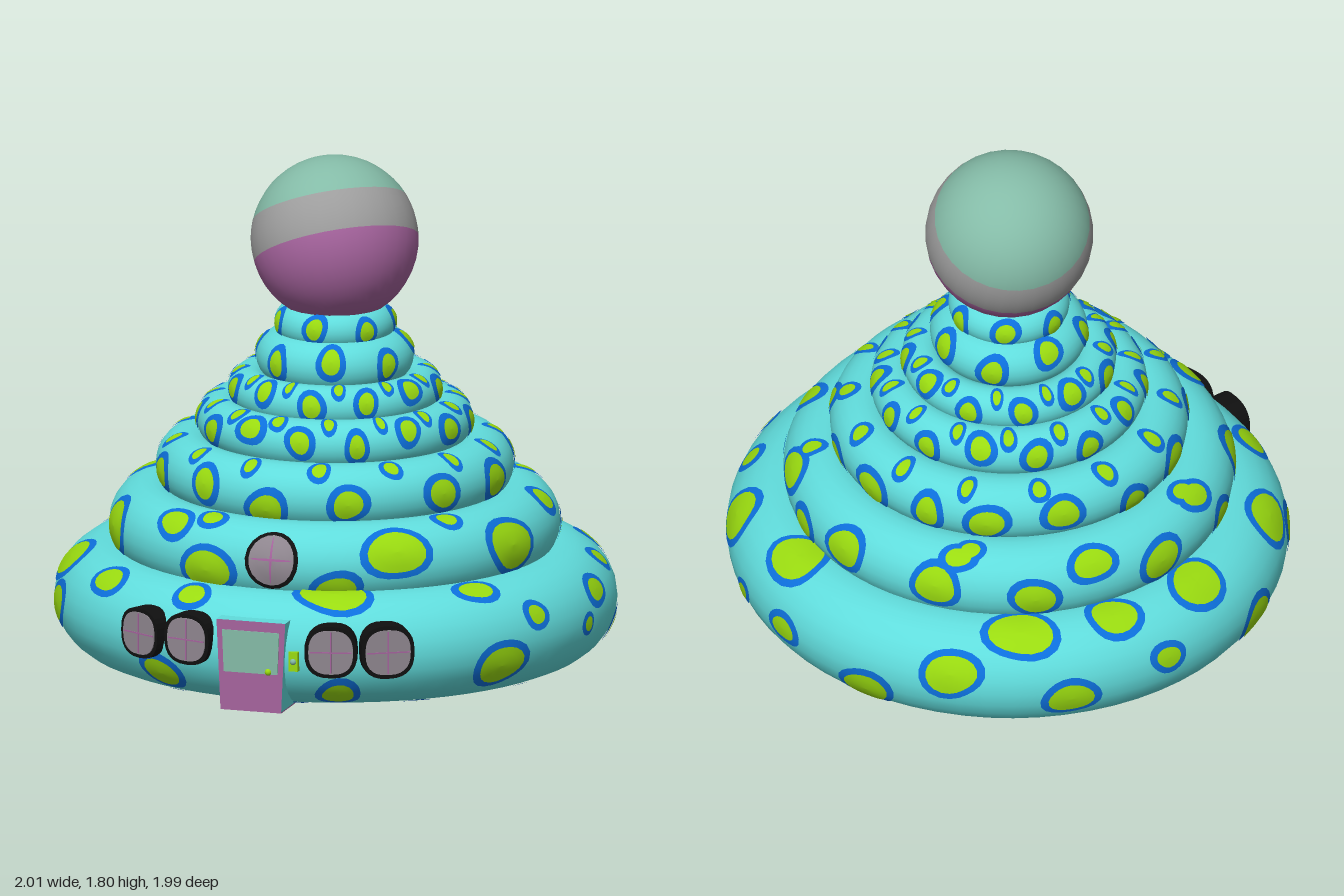
import * as THREE from 'three';
import { mergeGeometries } from 'three/addons/utils/BufferGeometryUtils.js';

const mat = (name, color) => {
  const m = new THREE.MeshStandardMaterial({ color });
  m.name = name;
  return m;
};
const RAD = Math.PI / 180;

// Spots are [azimuth, tube angle, half width, half height]
const sized = (list, turn = 0) => list.map(([a, t, w]) => [a, t + turn, w * 1.17, w]);
const evenly = (count, start, tubes, w, h) => Array.from({ length: count }, (_, i) =>
  [start + i * 360 / count, tubes[i % tubes.length], w * (1 + 0.15 * Math.sin(i * 5)), h]);

// Main spots of the two widest rings
const bottomSpots = sized([
  [-63, 2, 0.09], [-43, 52, 0.08], [-22, -33, 0.085], [18, -44, 0.075], [54, -20, 0.1],
  [52, 68, 0.075], [64, 26, 0.055], [81, 0, 0.04], [88, 29, 0.07], [105, -37, 0.125],
  [122, 35, 0.11], [137, -8, 0.05], [154, 0, 0.07], [104, 48, 0.06], [147, 71, 0.115],
  [-165, 20, 0.1], [-150, 68, 0.115], [-127, 72, 0.095], [-103, 68, 0.11], [-70, 46, 0.11],
  [17, 78, 0.12], [-17, 60, 0.07], [176, -25, 0.1], [-140, -8, 0.09], [-118, 12, 0.065], [-90, -15, 0.1]]);
const secondSpots = sized([
  [-17, -22, 0.1], [-31, 36, 0.075], [-60, -5, 0.11], [18, -42, 0.085], [34, 13, 0.108],
  [70, -2, 0.112], [97, 36, 0.07], [109, -25, 0.085], [127, 20, 0.085], [142, -15, 0.07],
  [160, 2, 0.09], [-167, 45, 0.06], [-90, 42, 0.07], [-82, -22, 0.075], [-110, -5, 0.09],
  [-130, 28, 0.08], [-146, -12, 0.085], [-172, 0, 0.09]], 12);
const thirdSpots = [-58, -29, -5, 22, 55, 82, 111, 133, 157, 180, -160, -135, -108, -85]
  .map((a, i) => [a, [0, 12, -18, -3, 3][i % 5], 0.082 + 0.01 * Math.sin(i * 4), 0.08]);

// Rings from the ground up: centre radius, tube radius, height, spots (with rows inside and beneath)
const RINGS = [
  { R: 0.8, r: 0.2, y: 0.2, spots: [...bottomSpots, ...evenly(12, 7, [-85], 0.07, 0.07),
    ...evenly(12, 22, [-130], 0.065, 0.065), ...evenly(12, 0, [178], 0.06, 0.065)] },
  { R: 0.653, r: 0.147, y: 0.475, spots: [...secondSpots, ...evenly(12, 4, [-105], 0.06, 0.06),
    ...evenly(12, 19, [-160], 0.06, 0.06), ...evenly(5, 52, [70], 0.06, 0.055)] },
  { R: 0.518, r: 0.117, y: 0.685, spots: [...thirdSpots, ...evenly(12, 10, [-130], 0.05, 0.055),
    ...evenly(14, 38, [62], 0.04, 0.055)] },
  { R: 0.402, r: 0.088, y: 0.845, spots: [...evenly(15, 3, [15, 5, 35], 0.058, 0.066),
    ...evenly(15, 15, [64], 0.03, 0.05)] },
  { R: 0.305, r: 0.075, y: 0.96, spots: [...evenly(12, 5, [10, 18, 38], 0.058, 0.062),
    ...evenly(12, 20, [62], 0.028, 0.045)] },
  { R: 0.188, r: 0.092, y: 1.078, spots: evenly(8, 15, [22, 5, 40], 0.058, 0.07) },
  { R: 0.145, r: 0.07, y: 1.2, spots: evenly(7, -2, [12, 2], 0.05, 0.06) },
];

// A rounded patch that follows the ring's surface
function patch({ R, r, y }, [az, tube, w, h], lift, seed, wobble = 1) {
  const pos = [], index = [], N = 20, L = 3;
  const rad = R + r * Math.cos(tube * RAD);
  for (let l = 0; l <= L; l++) for (let i = 0; i < N; i++) {
    const p = i / N * Math.PI * 2;
    const rho = l / L * (1 + wobble * (0.08 * Math.sin(2 * p + seed) + 0.04 * Math.sin(3 * p + seed * 2)));
    const a = az * RAD + w * rho * Math.cos(p) / rad;
    const t = tube * RAD + h * rho * Math.sin(p) / r;
    const q = R + (r + lift) * Math.cos(t);
    pos.push(q * Math.sin(a), y + (r + lift) * Math.sin(t), q * Math.cos(a));
    if (l < L) {
      const j = (i + 1) % N, b = l * N, c = b + N;
      index.push(b + i, c + i, c + j);
      if (l > 0) index.push(b + i, c + j, b + j);
    }
  }
  const g = new THREE.BufferGeometry();
  g.setAttribute('position', new THREE.Float32BufferAttribute(pos, 3));
  g.setIndex(index);
  g.computeVertexNormals();
  return g;
}

// Rounded-square outline
function squircle(s) {
  const pts = [];
  for (let i = 0; i < 28; i++) {
    const p = i / 28 * Math.PI * 2, c = Math.cos(p), n = Math.sin(p);
    pts.push(new THREE.Vector2(s * Math.sign(c) * Math.abs(c) ** 0.78, s * Math.sign(n) * Math.abs(n) ** 0.78));
  }
  return new THREE.Shape(pts);
}
const extrude = (shape, depth) => new THREE.ExtrudeGeometry(shape, { depth, bevelEnabled: false });
const trapezoid = (bottom, top, y0, y1) => new THREE.Shape([
  new THREE.Vector2(-bottom, y0), new THREE.Vector2(bottom, y0),
  new THREE.Vector2(top, y1), new THREE.Vector2(-top, y1)]);

export function createModel() {
  const model = new THREE.Group();
  const aqua = mat('aqua', 0x60dcdc), blue = mat('blue', 0x0d70dc), lime = mat('lime', 0x9adb10);
  const sage = mat('sage', 0x84bba7), grey = mat('grey', 0x9d9d9d), mauve = mat('mauve', 0xa5639d);
  const black = mat('black', 0x101010), pane = mat('pane grey', 0x8f868f);
  const add = (parent, name, geo, m, x = 0, y = 0, z = 0) => {
    const mesh = new THREE.Mesh(geo, m);
    mesh.name = name;
    mesh.position.set(x, y, z);
    parent.add(mesh);
    return mesh;
  };

  // Stacked spotted rings; the bottom one is slightly shallower front to back
  RINGS.forEach((ring, i) => {
    const g = new THREE.Group();
    g.name = `ring${i + 1}`;
    add(g, 'ringBody', new THREE.TorusGeometry(ring.R, ring.r, 24, 64).rotateX(Math.PI / 2), aqua, 0, ring.y);
    const layer = (shrink, lift) => mergeGeometries(ring.spots.map(([a, t, w, h], k) => patch(ring,
      [a, t, Math.max(w - shrink, w * 0.6), Math.max(h - shrink, h * 0.6)], lift, k * 1.7 + i)));
    add(g, 'spotBorders', layer(0, 0.003), blue);
    add(g, 'spotCentres', layer(0.027, 0.006), lime);
    if (i === 0) { g.scale.z = 0.983; g.position.z = -0.012; }
    model.add(g);
  });

  // Tilted three-band ball on top
  const ball = new THREE.Group();
  ball.name = 'topBall';
  ball.position.set(0, 1.5, 0.003);
  ball.quaternion.setFromUnitVectors(new THREE.Vector3(0, 1, 0), new THREE.Vector3(-0.33, 1, -0.42).normalize());
  [['ballCap', 0, 68, sage], ['ballBand', 68, 97, grey], ['ballBase', 97, 180, mauve]].forEach(([n, a, b, m]) =>
    add(ball, n, new THREE.SphereGeometry(0.298, 32, 10, 0, Math.PI * 2, a * RAD, (b - a) * RAD), m));
  model.add(ball);

  // Lower windows: x, y, z of the front face, yaw, size
  [[-0.44, 0.235, 0.9, -27, 0.09], [-0.245, 0.24, 0.96, -14, 0.092], [0.29, 0.23, 0.953, 13, 0.094],
    [0.483, 0.23, 0.889, 29, 0.096]].forEach(([x, y, z, yaw, s]) => {
    const w = new THREE.Group();
    w.name = 'window';
    w.position.set(x, y, z);
    w.rotation.y = yaw * RAD;
    add(w, 'windowFrame', extrude(squircle(s), 0.09), black, 0, 0, -0.09);
    add(w, 'windowPane', extrude(squircle(s * 0.85), 0.004), pane);
    add(w, 'windowBarUpright', new THREE.BoxGeometry(0.005, s * 1.6, 0.004), mauve, 0, 0, 0.004);
    add(w, 'windowBarAcross', new THREE.BoxGeometry(s * 1.6, 0.005, 0.004), mauve, 0, 0, 0.004);
    model.add(w);
  });

  // Upper window, curved to fit the second ring
  const upper = new THREE.Group();
  upper.name = 'upperWindow';
  [['windowFrame', 0.098, 0.104, 0.009, black], ['windowPane', 0.083, 0.088, 0.012, pane],
    ['windowBarUpright', 0.004, 0.08, 0.015, mauve], ['windowBarAcross', 0.075, 0.004, 0.015, mauve]]
    .forEach(([n, w, h, lift, m]) => add(upper, n, patch(RINGS[1], [1.4, 14, w, h], lift, 0, 0), m));
  model.add(upper);

  // Tapered porch with aqua sides, a two-tone door, knob and bell
  const door = new THREE.Group();
  door.name = 'door';
  add(door, 'doorFrame', extrude(trapezoid(0.113, 0.128, 0.004, 0.328), 0.168), [mauve, aqua], 0, 0, 0.808);
  add(door, 'doorSill', new THREE.BoxGeometry(0.226, 0.004, 0.168), mauve, 0, 0.002, 0.892);
  add(door, 'doorPanel', extrude(trapezoid(0.1, 0.106, 0.14, 0.292), 0.004), sage, 0, 0, 0.976);
  add(door, 'doorKnob', new THREE.SphereGeometry(0.013, 12, 8), lime, 0.065, 0.148, 0.976);
  add(door, 'bellPlate', new THREE.BoxGeometry(0.035, 0.07, 0.03), lime, 0.155, 0.19, 0.955);
  add(door, 'bellButton', new THREE.SphereGeometry(0.012, 12, 8), sage, 0.155, 0.19, 0.967);
  model.add(door);
  return model;
}
